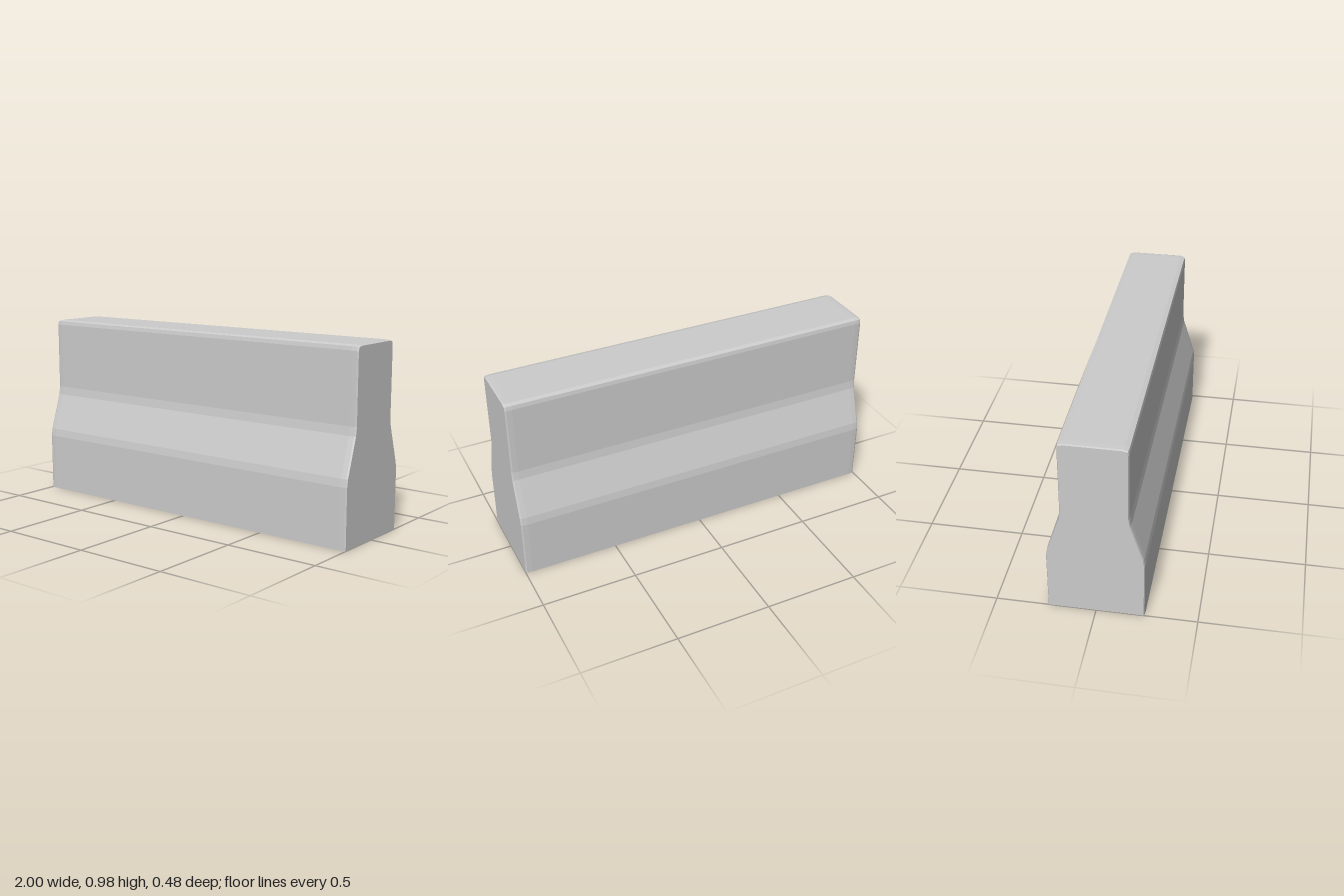
import * as THREE from 'three';

// Half of the cross-section as [z, y], from the foot up to the top
const HALF = [
  [0.241, 0], [0.241, 0.31], [0.235, 0.35], [0.172, 0.545],
  [0.166, 0.59], [0.166, 0.95], [0.162, 0.97], [0.14, 0.976],
];
const PROFILE = [...HALF, ...HALF.slice().reverse().map(([z, y]) => [-z, y])];

// Cross-sections along the length: [x, inset], drawn in a little at the ends
const SECTIONS = [[-1, 0.006], [-0.992, 0.002], [-0.965, 0], [0.965, 0], [0.992, 0.002], [1, 0.006]];

const insetProfile = (inset) => PROFILE.map(([z, y]) => [
  z - Math.sign(z) * inset,
  y > 0.9 ? y - inset * 0.7 : y,
]);

function loftGeometry() {
  const positions = [];
  const index = [];
  const n = PROFILE.length;
  SECTIONS.forEach(([x, inset], i) => {
    insetProfile(inset).forEach(([z, y], j) => {
      positions.push(x, y, z);
      if (i === SECTIONS.length - 1 || j === n - 1) return;
      const a = i * n + j;
      const b = a + n;
      index.push(a, b, b + 1, a, b + 1, a + 1);
    });
  });
  const geometry = new THREE.BufferGeometry();
  geometry.setAttribute('position', new THREE.Float32BufferAttribute(positions, 3));
  geometry.setIndex(index);
  geometry.computeVertexNormals();
  return geometry;
}

export function createModel() {
  const group = new THREE.Group();
  group.name = 'roadBarrier';
  const material = new THREE.MeshStandardMaterial({
    color: 0xcccccc, flatShading: true, side: THREE.DoubleSide,
  });

  // Hollow shell: sloped sides and rounded top, open underneath
  const shell = new THREE.Mesh(loftGeometry(), material);
  shell.name = 'barrierShell';
  group.add(shell);

  // Flat end walls
  const outline = insetProfile(SECTIONS[0][1]).map(([z, y]) => new THREE.Vector2(z, y));
  const endGeometry = new THREE.ShapeGeometry(new THREE.Shape(outline));
  for (const side of [-1, 1]) {
    const end = new THREE.Mesh(endGeometry, material);
    end.name = side > 0 ? 'leftEndWall' : 'rightEndWall';
    end.rotation.y = side * Math.PI / 2;
    end.position.x = side;
    group.add(end);
  }
  return group;
}
